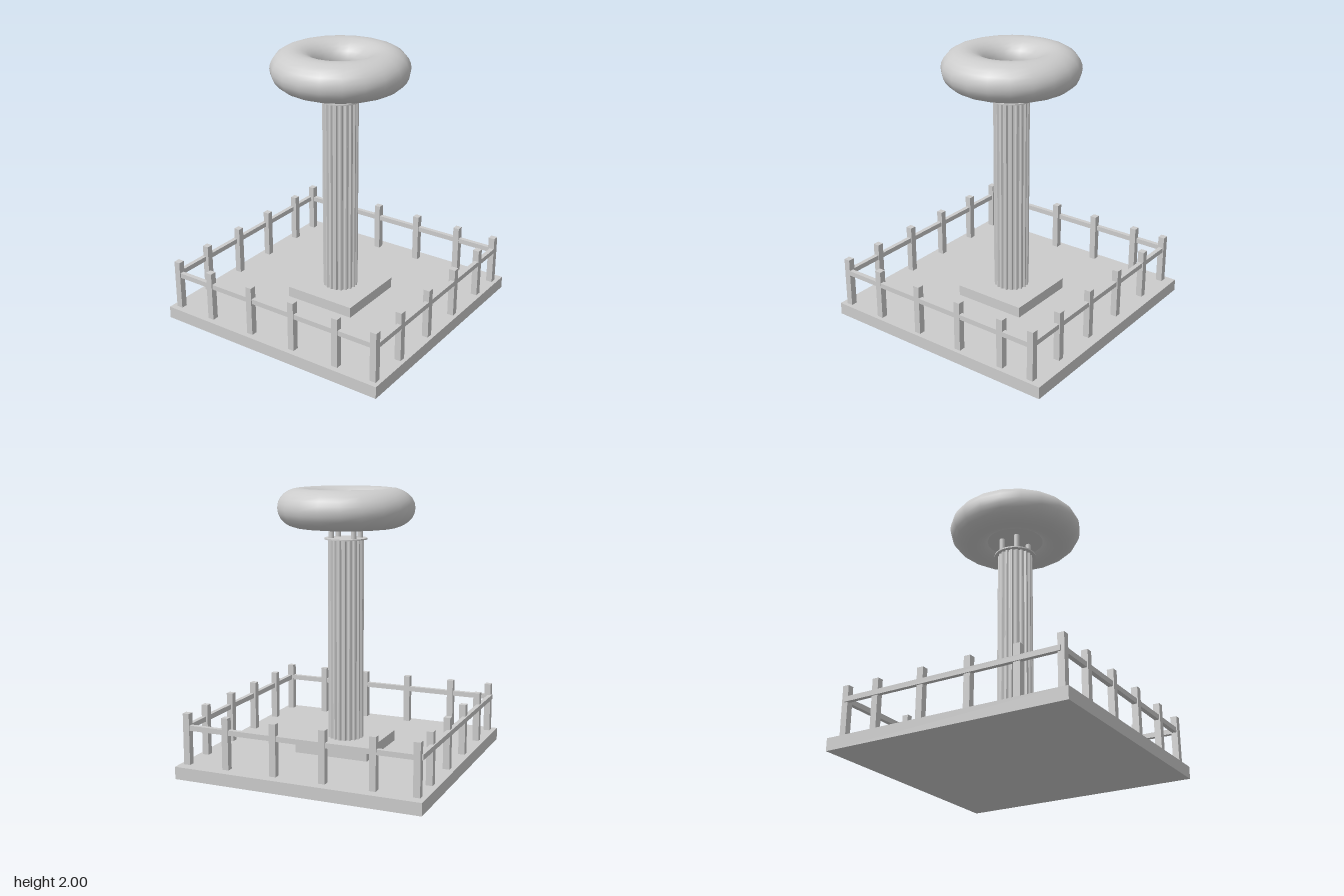
import * as THREE from 'three';

const grey = new THREE.MeshStandardMaterial({ color: 0xcccccc });
const flatGrey = new THREE.MeshStandardMaterial({ color: 0xcccccc, flatShading: true });

export function createModel() {
  const model = new THREE.Group();

  const add = (parent, name, geometry, x, y, z, material = grey) => {
    const mesh = new THREE.Mesh(geometry, material);
    mesh.name = name;
    mesh.position.set(x, y, z);
    parent.add(mesh);
    return mesh;
  };
  const box = (parent, name, w, h, d, x, y, z) =>
    add(parent, name, new THREE.BoxGeometry(w, h, d), x, y, z);

  // Base slab and plinth
  box(model, 'baseSlab', 1.82, 0.09, 1.82, 0, 0.045, 0);
  box(model, 'plinth', 0.56, 0.08, 0.56, 0, 0.13, 0);

  // Fluted column: outline alternates between ridges and grooves
  const flutes = 20;
  const outline = [];
  for (let i = 0; i < flutes * 4; i++) {
    const a = ((i - 0.5) / (flutes * 4)) * Math.PI * 2;
    const r = i % 4 < 2 ? 0.13 : 0.117;
    outline.push(new THREE.Vector2(r * Math.cos(a), r * Math.sin(a)));
  }
  const columnGeometry = new THREE.ExtrudeGeometry(new THREE.Shape(outline), {
    depth: 1.47, bevelEnabled: false,
  });
  columnGeometry.rotateX(-Math.PI / 2);
  add(model, 'flutedColumn', columnGeometry, 0, 0.17, 0, flatGrey);
  add(model, 'columnCap', new THREE.CylinderGeometry(0.155, 0.155, 0.01, 32), 0, 1.64, 0);

  // Four rods carrying the ring
  const rods = new THREE.Group();
  rods.name = 'supportRods';
  model.add(rods);
  for (const x of [-0.086, 0.086]) {
    for (const z of [-0.062, 0.064]) {
      add(rods, 'supportRod', new THREE.CylinderGeometry(0.02, 0.02, 0.13, 12), x, 1.705, z);
    }
  }

  // Squashed ring with a disc closing its hole
  add(model, 'ringDisc', new THREE.CylinderGeometry(0.21, 0.21, 0.01, 32), 0, 1.77, 0);
  const ringGeometry = new THREE.TorusGeometry(0.33, 0.165, 24, 20);
  ringGeometry.rotateX(-Math.PI / 2);
  ringGeometry.scale(1, 0.14 / 0.165, 1);
  add(model, 'topRing', ringGeometry, 0, 1.86, 0);

  // Fence posts around the edge of the slab
  const fence = new THREE.Group();
  fence.name = 'fence';
  model.add(fence);
  const left = 0.857, right = -0.848, front = 0.845, back = -0.812;
  const post = (x, z) => box(fence, 'fencePost', 0.048, 0.37, 0.048, x, 0.275, z);
  for (const z of [front, back]) {
    for (const x of [right, -0.543, -0.18, 0.185, 0.55, left]) post(x, z);
  }
  for (const x of [left, right]) {
    for (const z of [-0.56, -0.195, 0.17, 0.535]) post(x, z);
  }

  // Fence rails
  const railY = 0.356, railH = 0.037, railT = 0.033;
  for (const z of [front, back]) {
    box(fence, 'fenceRail', left - right, railH, railT, (left + right) / 2, railY, z);
  }
  for (const x of [0.864, -0.866]) {
    box(fence, 'fenceRail', railT, railH, front - back, x, railY, (front + back) / 2);
  }

  return model;
}
